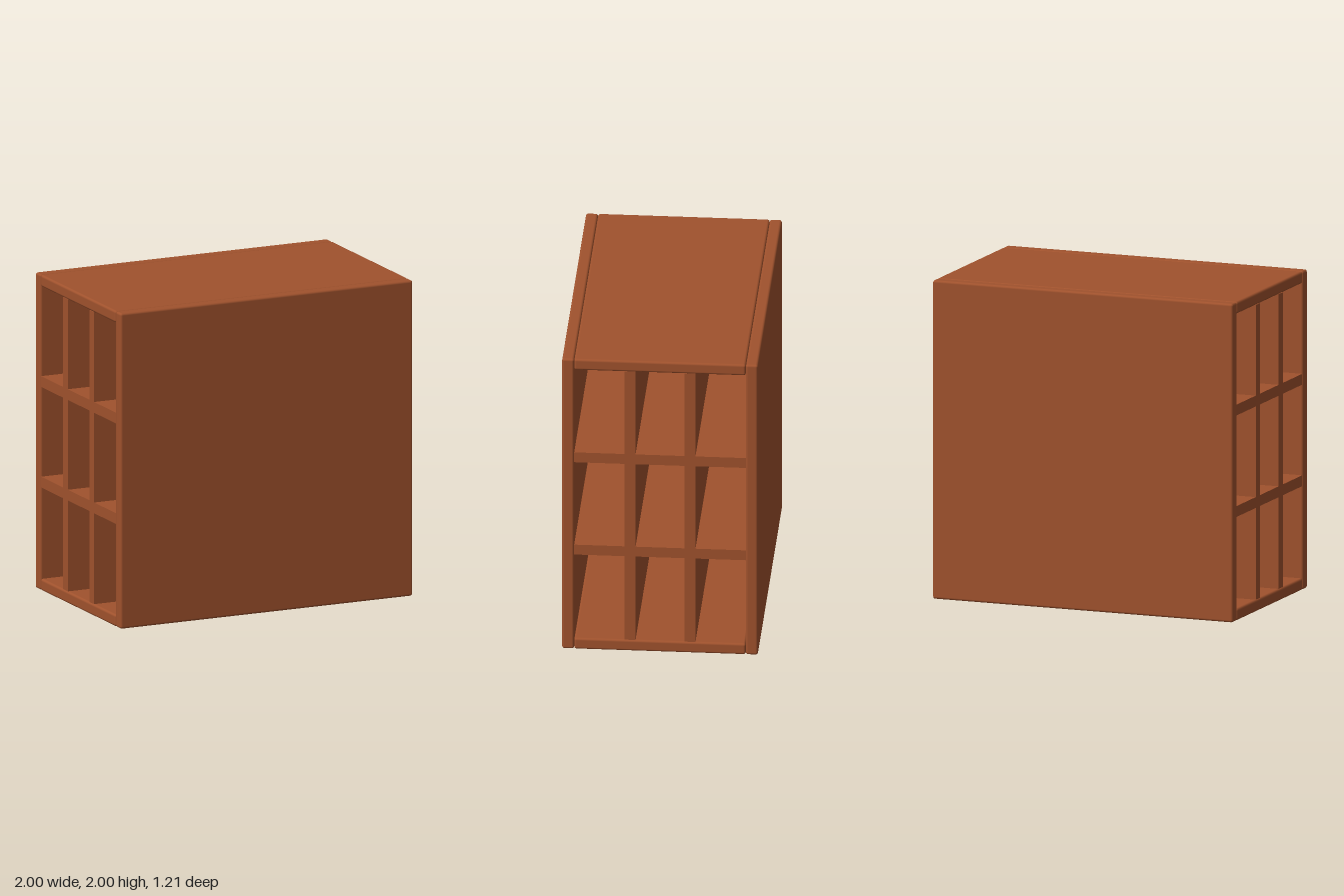
import * as THREE from 'three';
import { RoundedBoxGeometry } from 'three/addons/geometries/RoundedBoxGeometry.js';

const LENGTH = 2, HEIGHT = 2, DEPTH = 1.21;
const PANEL = 0.075; // outer panel thickness
const BOARD = 0.068; // inner board thickness
const INNER_LENGTH = 1.99;

export function createModel() {
  const group = new THREE.Group();
  const wood = new THREE.MeshStandardMaterial({ color: 0xa0522d });
  wood.name = 'brownWood';

  const add = (name, geometry, y, z) => {
    const mesh = new THREE.Mesh(geometry, wood);
    mesh.name = name;
    mesh.position.set(0, y, z);
    group.add(mesh);
  };
  const panel = (h, d) => new RoundedBoxGeometry(LENGTH, h, d, 2, 0.015);

  // Outer case: large front and back panels with top and bottom between them
  const innerDepth = DEPTH - 2 * PANEL;
  const panelZ = (DEPTH - PANEL) / 2;
  add('frontPanel', panel(HEIGHT, PANEL), HEIGHT / 2, panelZ);
  add('backPanel', panel(HEIGHT, PANEL), HEIGHT / 2, -panelZ);
  add('topPanel', panel(PANEL, innerDepth), HEIGHT - PANEL / 2, 0);
  add('bottomPanel', panel(PANEL, innerDepth), PANEL / 2, 0);

  // Two shelves running through the case
  const shelfY = [0.685, 1.322];
  for (const y of shelfY) {
    add('shelf', new THREE.BoxGeometry(INNER_LENGTH, BOARD, innerDepth), y, 0);
  }

  // Upright dividers filling the gaps between the shelves
  const gaps = [
    [PANEL, shelfY[0] - BOARD / 2],
    [shelfY[0] + BOARD / 2, shelfY[1] - BOARD / 2],
    [shelfY[1] + BOARD / 2, HEIGHT - PANEL],
  ];
  for (const z of [-0.185, 0.185]) {
    for (const [low, high] of gaps) {
      add('divider', new THREE.BoxGeometry(INNER_LENGTH, high - low, BOARD), (low + high) / 2, z);
    }
  }
  return group;
}
